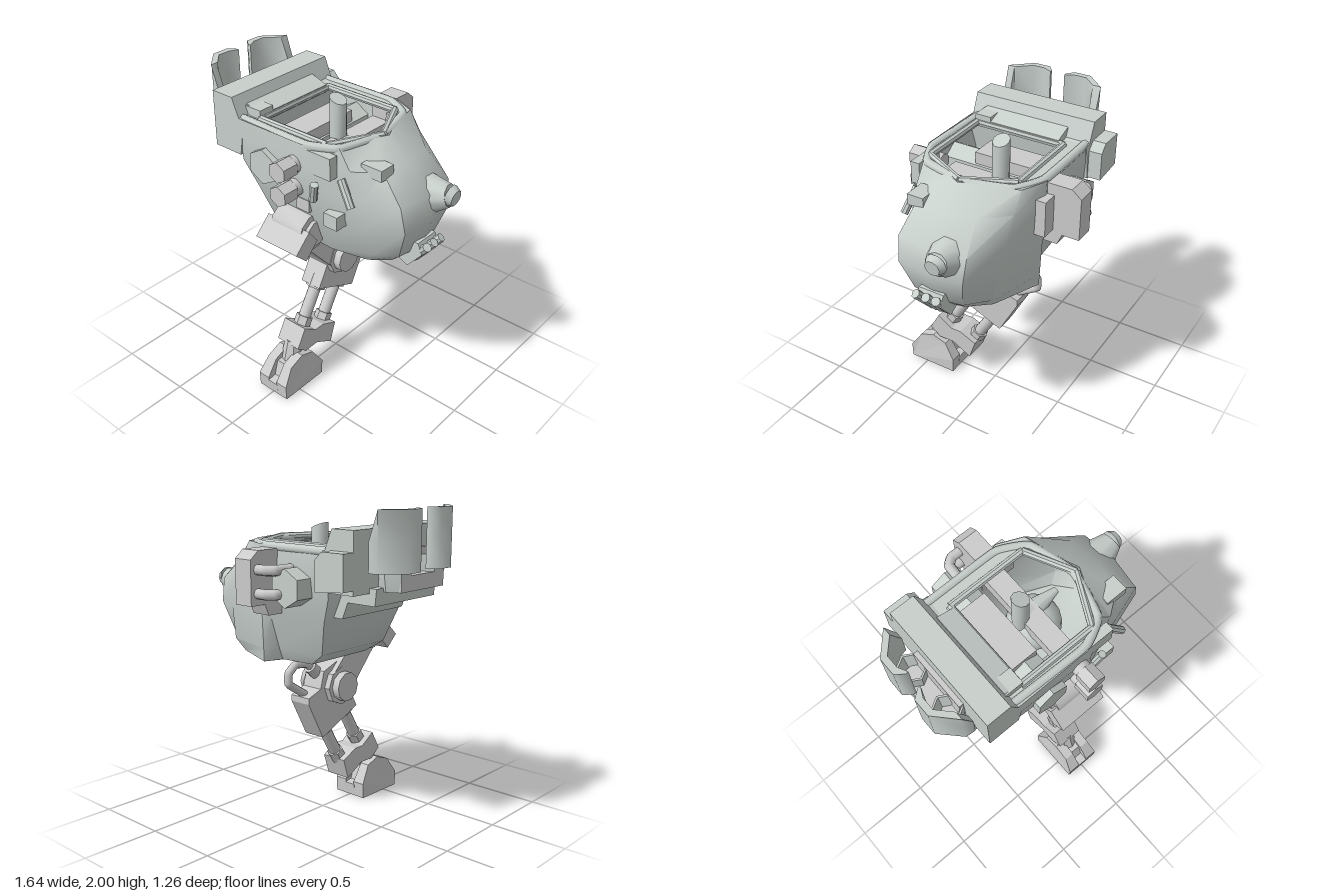
import * as THREE from 'three';
import { toCreasedNormals } from 'three/addons/utils/BufferGeometryUtils.js';

const V = (x, y, z) => new THREE.Vector3(x, y, z);

export function createModel() {
  const model = new THREE.Group();
  const armour = new THREE.MeshStandardMaterial({ color: 0xc8d0cc, side: THREE.DoubleSide });
  const metal = new THREE.MeshStandardMaterial({ color: 0xcccccc });

  const add = (name, geo, mat = metal) => {
    const mesh = new THREE.Mesh(geo, mat);
    mesh.name = name;
    model.add(mesh);
    return mesh;
  };
  // box given by its limits on each axis
  const box = (name, x0, x1, y0, y1, z0, z1, mat) =>
    add(name, new THREE.BoxGeometry(x1 - x0, y1 - y0, z1 - z0), mat)
      .position.set((x0 + x1) / 2, (y0 + y1) / 2, (z0 + z1) / 2);
  // cylinder or cone frustum between two points
  const rod = (name, a, b, r0, r1 = r0, sides = 12, mat = metal) => {
    const d = b.clone().sub(a);
    const geo = toCreasedNormals(new THREE.CylinderGeometry(r1, r0, d.length(), sides), 0.7);
    const m = add(name, geo, mat);
    m.quaternion.setFromUnitVectors(V(0, 1, 0), d.normalize());
    m.position.copy(a).add(b).multiplyScalar(0.5);
  };
  const extrude = (pts, depth, steps = 1) => new THREE.ExtrudeGeometry(
    new THREE.Shape(pts.map(p => new THREE.Vector2(...p))), { depth, steps, bevelEnabled: false });
  // side profile in (z, y), extruded across x
  const plate = (name, pts, x0, x1) =>
    add(name, extrude(pts, x1 - x0).rotateY(-Math.PI / 2).translate(x1, 0, 0));
  // front profile in (x, y), extruded along z
  const slab = (name, pts, z0, z1) => add(name, extrude(pts, z1 - z0).translate(0, 0, z0), armour);
  // skin over rings that rise from bottom to top, closed below
  const loft = (rings, crease) => {
    const n = rings[0].length, idx = [];
    for (let r = 0; r < rings.length - 1; r++)
      for (let i = 0; i < n; i++) {
        const j = (i + 1) % n, a = r * n, b = a + n;
        idx.push(a + i, a + j, b + j, a + i, b + j, b + i);
      }
    for (let i = 1; i < n - 1; i++) idx.push(0, i + 1, i);
    const geo = new THREE.BufferGeometry();
    geo.setAttribute('position', new THREE.Float32BufferAttribute(rings.flat(2), 3));
    geo.setIndex(idx);
    return toCreasedNormals(geo, crease);
  };
  // bent pipe through points, with straight runs
  const pipe = (name, pts, r, mat = metal) => {
    const path = new THREE.CatmullRomCurve3(pts, false, 'catmullrom', 0.15);
    return add(name, new THREE.TubeGeometry(path, 64, r, 8), mat);
  };

  // ---- hull: y, back x, width, mid x, width, shoulder x, width, front x, width
  const levels = [
    [1.04, -0.14, 0.25, 0.2, 0.27, 0.44, 0.22, 0.55, 0.13],
    [1.12, -0.26, 0.29, 0.2, 0.30, 0.50, 0.25, 0.63, 0.17],
    [1.33, -0.33, 0.35, 0.18, 0.37, 0.48, 0.29, 0.70, 0.22],
    [1.49, -0.40, 0.39, 0.14, 0.41, 0.45, 0.30, 0.67, 0.23],
    [1.65, -0.40, 0.41, 0.12, 0.42, 0.37, 0.31, 0.52, 0.20],
    [1.77, -0.40, 0.41, 0.1, 0.41, 0.29, 0.31, 0.37, 0.07],
  ];
  const ring = ([y, xb, wb, xm, wm, xs, ws, xf, wf]) => [
    [xb, y, wb], [xm, y, wm], [xs, y, ws], [xf, y, wf], [xf + 0.03, y, 0],
    [xf, y, -wf], [xs, y, -ws - 0.04], [0.13, y, -0.39 - 0.04 * (y - 1)], [0.09, y, -wm], [xb, y, -wb],
  ];
  add('hull', loft(levels.map(ring), 0.75), armour);

  // ---- deck around the cockpit opening, and its two rims
  const rim = [[-0.31, -0.29], [0.22, -0.29], [0.37, 0.01], [0.21, 0.32], [-0.31, 0.32]];
  const deck = new THREE.Shape(ring(levels[5]).map(p => new THREE.Vector2(p[0], -p[2])));
  deck.holes.push(new THREE.Path(rim.map(([x, z]) => new THREE.Vector2(x * 0.97, -z * 0.97))));
  add('deck', new THREE.ShapeGeometry(deck).rotateX(-Math.PI / 2).translate(0, 1.765, 0), armour);
  rim.forEach(([x, z], i) => {
    const [x2, z2] = rim[(i + 1) % rim.length];
    rod('cockpitRim', V(x, 1.765, z), V(x2, 1.765, z2), 0.023, 0.023, 8, armour);
  });
  pipe('outerRim', [[-0.45, -0.39], [0.1, -0.39], [0.28, -0.29], [0.36, 0], [0.28, 0.29], [0.1, 0.38], [-0.45, 0.37]]
    .map(([x, z]) => V(x, 1.755, z)), 0.028, armour);

  // ---- rear block
  slab('rearBlock', [[-0.61, 1.53], [-0.4, 1.53], [-0.36, 1.76], [-0.4, 1.77], [-0.45, 1.89], [-0.61, 1.89]], -0.42, 0.41);
  slab('rearUnderside', [[-0.66, 1.56], [-0.65, 1.46], [-0.45, 1.46], [-0.41, 1.36], [-0.32, 1.36], [-0.32, 1.56]], -0.28, 0.28);
  slab('rearKeel', [[-0.34, 1.36], [-0.26, 1.13], [-0.1, 1.13], [-0.1, 1.36]], -0.28, 0.28);
  slab('rearSidePod', [[-0.61, 1.56], [-0.4, 1.54], [-0.4, 1.72], [-0.45, 1.77], [-0.61, 1.77]], -0.505, -0.42);
  slab('rearRoll', [[-0.42, 1.74], [-0.3, 1.74], [-0.3, 1.79], [-0.42, 1.83]], -0.26, 0.32);
  box('rearLamp', -0.43, -0.3, 1.74, 1.82, 0.22, 0.33, armour);

  // ---- twin rear boosters: a curved shield standing behind a hollow hexagonal cup
  box('boosterBracket', -0.77, -0.6, 1.54, 1.63, -0.2, 0.2);
  box('boosterBackplate', -0.64, -0.6, 1.54, 1.76, -0.2, 0.2);
  const shield = [[-0.75, 0.05], [-0.77, 0.05], [-0.82, 0.09], [-0.82, 0.2], [-0.7, 0.325], [-0.64, 0.33],
    [-0.64, 0.285], [-0.69, 0.275], [-0.78, 0.19], [-0.78, 0.11]];
  const cup = [[0, 1.6], [0.05, 1.62], [0.08, 1.73], [0.093, 1.73], [0.093, 1.62], [0.08, 1.54], [0, 1.54]];
  for (const s of [-1, 1]) {
    const geo = extrude(shield.map(([x, z]) => [x, -z * s]), 0.35, 2).rotateX(-Math.PI / 2).translate(0, 1.65, 0);
    const p = geo.attributes.position;
    for (let i = 0; i < p.count; i++)
      if (p.getY(i) > 1.95) p.setX(i, Math.min(p.getX(i), -0.7));
    add('boosterShield', toCreasedNormals(geo, 0.9), armour);
    const bowl = new THREE.LatheGeometry(cup.map(c => new THREE.Vector2(...c)), 6);
    add('boosterCup', toCreasedNormals(bowl, 0.5), armour).position.set(-0.69, 0, s * 0.155);
  }

  // ---- nose, chin vents and front fittings
  rod('nose', V(0.56, 1.42, -0.08), V(0.775, 1.47, -0.1), 0.16, 0.07, 10, armour);
  rod('noseTip', V(0.775, 1.47, -0.1), V(0.815, 1.465, -0.1), 0.07, 0.05, 10, armour);
  slab('chinPlate', [[0.54, 1.06], [0.63, 1.015], [0.73, 1.13], [0.7, 1.2], [0.6, 1.2]], -0.085, 0.085);
  for (let i = -1; i <= 1; i++)
    rod('chinVent', V(0.64, 1.06, i * 0.03), V(0.755, 1.19, i * 0.07), 0.032, 0.028, 8, armour);
  box('browLamp', 0.4, 0.545, 1.62, 1.69, 0.14, 0.25, armour);
  box('cheekBox', 0.25, 0.35, 1.29, 1.38, 0.3, 0.4, armour);
  box('cheekCover', 0.09, 0.3, 1.6, 1.74, 0.34, 0.4, armour);
  rod('sideStrut', V(0.18, 1.44, 0.41), V(0.21, 1.56, 0.43), 0.025, 0.025, 8, armour);
  rod('sideStrut', V(0.43, 1.46, 0.37), V(0.33, 1.6, 0.34), 0.025, 0.025, 8, armour);

  // ---- left-side twin barrels
  for (const y of [1.475, 1.63]) {
    rod('barrel', V(0.045, y, 0.34), V(0.045, y, 0.47), 0.055);
    rod('barrelMuzzle', V(0.045, y, 0.45), V(0.045, y, 0.56), 0.066, 0.066, 6);
  }
  box('barrelMount', 0.03, 0.13, 1.32, 1.4, 0.3, 0.39);

  // ---- right-side power pack with bent pipes
  plate('powerPack', [[-0.38, 1.36], [-0.49, 1.36], [-0.52, 1.43], [-0.63, 1.43], [-0.63, 1.7], [-0.57, 1.75], [-0.38, 1.75]], -0.02, 0.11);
  box('packMount', 0.1, 0.21, 1.45, 1.68, -0.46, -0.36);
  for (const y of [1.5, 1.64])
    pipe('packPipe', [V(0, y, -0.575), V(-0.08, y, -0.575), V(-0.125, y, -0.54), V(-0.135, y, -0.42)], 0.032);

  // ---- cross axle with hex ends, and cockpit fittings
  rod('crossAxle', V(-0.18, 1.54, -0.52), V(-0.18, 1.54, 0.45), 0.115, 0.115, 6, armour);
  box('crossBeam', -0.02, 0.11, 1.52, 1.62, -0.4, 0.3);
  box('cockpitBench', -0.27, -0.09, 1.6, 1.68, -0.26, 0.2);
  add('seat', new THREE.SphereGeometry(0.17, 20, 12), armour).position.set(0.08, 1.42, -0.02);
  rod('controlCone', V(0.05, 1.55, -0.04), V(0.27, 1.58, -0.04), 0.08, 0.02, 10, armour);
  // round periscope with its top cut at a slant
  const scope = new THREE.CylinderGeometry(0.054, 0.054, 0.42, 10);
  const sp = scope.attributes.position;
  for (let i = 0; i < sp.count; i++)
    if (sp.getY(i) > 0) sp.setY(i, 0.21 - 0.4 * sp.getX(i));
  add('periscope', toCreasedNormals(scope, 0.7), armour).position.set(-0.01, 1.65, -0.035);

  // ---- hip and thigh
  plate('hipBlock', [[0.545, 1.11], [0.43, 1.22], [0.36, 1.13], [0.46, 1.03]], -0.165, 0.165);
  rod('hipJoint', V(-0.12, 1.16, 0.34), V(0.12, 1.16, 0.34), 0.125, 0.125, 10);
  rod('hipCap', V(-0.145, 1.16, 0.34), V(0.145, 1.16, 0.34), 0.085, 0.085, 10);
  box('hipBracket', -0.12, 0.09, 1.08, 1.25, 0.2, 0.32);
  plate('thigh', [[0.42, 1.09], [0.27, 1.22], [-0.02, 0.92], [0.02, 0.78], [0.16, 0.8]], -0.11, 0.11);

  // ---- knee and shin housing
  rod('knee', V(-0.165, 0.84, 0.06), V(0.165, 0.84, 0.06), 0.095, 0.095, 10);
  rod('kneeCollar', V(-0.115, 0.84, 0.06), V(0.115, 0.84, 0.06), 0.125, 0.125, 8);
  plate('shinHousing', [[0.25, 0.66], [0.15, 0.84], [0.13, 0.93], [0.06, 1.0], [-0.07, 0.95], [-0.1, 0.84], [-0.21, 0.8], [-0.21, 0.76], [-0.08, 0.515]], -0.075, 0.075);
  pipe('kneeHose', [V(0, 0.93, -0.05), V(0, 1.0, -0.15), V(0, 1.015, -0.25), V(0, 0.97, -0.31), V(0, 0.9, -0.31), V(0, 0.81, -0.17)], 0.026);
  rod('hoseCollar', V(0, 0.91, -0.04), V(0, 0.98, -0.12), 0.042);

  // ---- twin shin pistons, each with collars
  for (const [z, y] of [[0.18, 0.66], [-0.01, 0.58]]) {
    const at = t => V(0, y - 0.36 * t, z + 0.215 * t);
    rod('piston', at(-0.1), at(0.95), 0.04);
    rod('pistonCollar', at(-0.1), at(0.12), 0.065, 0.065, 6);
    rod('pistonCollar', at(0.6), at(0.78), 0.055, 0.055, 6);
  }
  plate('ankleBlock', [[0.475, 0.31], [0.405, 0.435], [0.3, 0.365], [0.23, 0.365], [0.11, 0.31], [0.155, 0.175], [0.29, 0.25], [0.4, 0.25]], -0.088, 0.088);
  rod('ankle', V(0, 0.32, 0.42), V(0, 0.12, 0.45), 0.055, 0.08, 8);

  // ---- foot: side walls either side of a lower core, narrowing to the top and ends
  const foot = [[0.625, 0], [0.63, 0.1], [0.555, 0.21], [0.45, 0.25], [0.35, 0.215], [0.275, 0.1], [0.28, 0]];
  for (const [x0, x1] of [[0.035, 0.118], [-0.118, -0.035]]) {
    const geo = plate('footSide', foot, x0, x1).geometry, p = geo.attributes.position;
    for (let i = 0; i < p.count; i++)
      if (Math.abs(p.getX(i)) > 0.1 && p.getY(i) > 0.15) p.setX(i, p.getX(i) * 0.85);
    geo.computeVertexNormals();
  }
  plate('footCore', [[0.625, 0], [0.63, 0.08], [0.57, 0.09], [0.54, 0.19], [0.36, 0.19], [0.33, 0.09], [0.275, 0.08], [0.28, 0]], -0.04, 0.04);

  return model;
}
